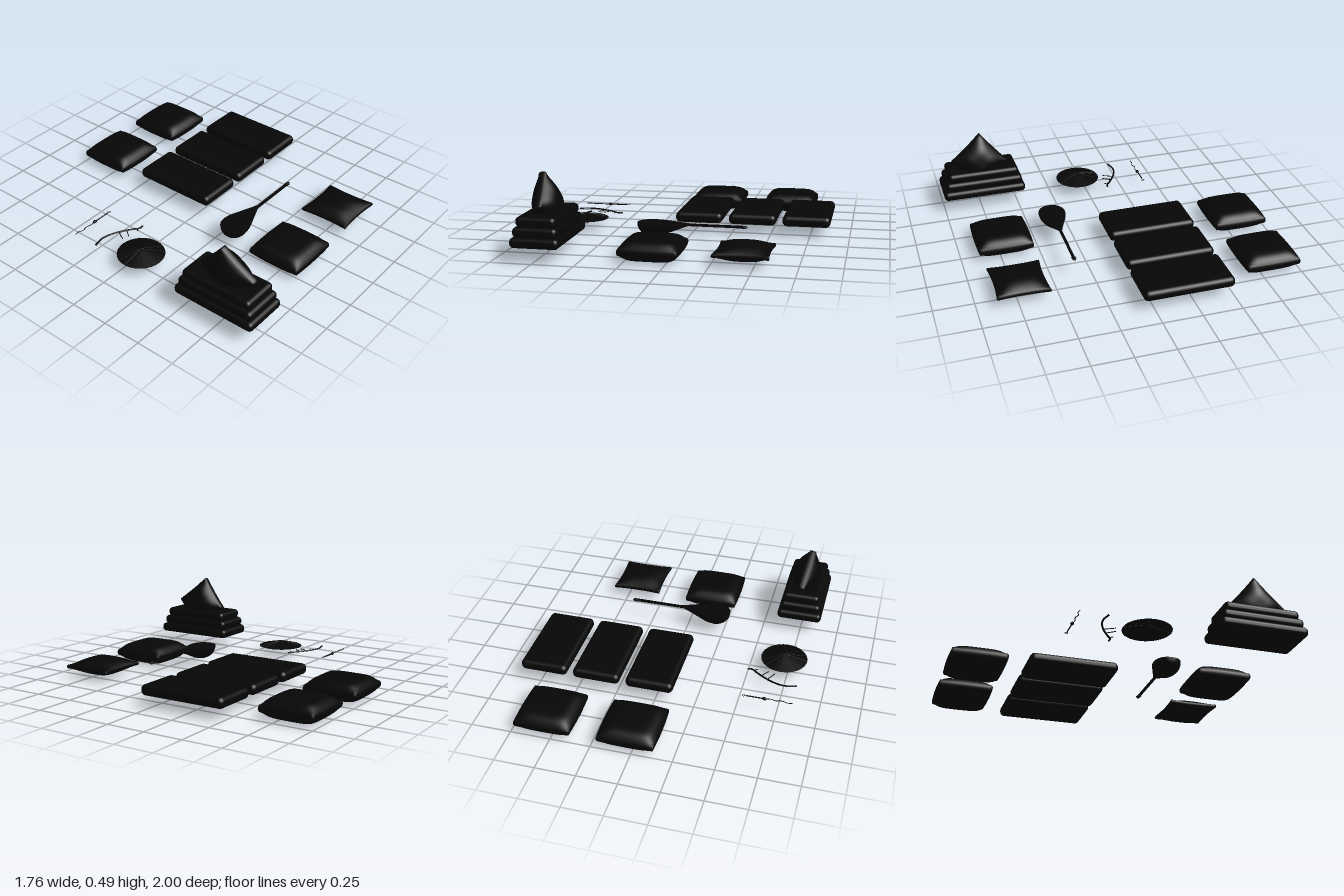
import * as THREE from 'three';
import { mergeVertices } from 'three/addons/utils/BufferGeometryUtils.js';
import { RoundedBoxGeometry } from 'three/addons/geometries/RoundedBoxGeometry.js';

const dark = new THREE.MeshStandardMaterial({ color: 0x060606 });
const darkThin = new THREE.MeshStandardMaterial({ color: 0x060606, side: THREE.DoubleSide });

function add(parent, name, geometry, x = 0, y = 0, z = 0, material = dark) {
  const mesh = new THREE.Mesh(geometry, material);
  mesh.name = name;
  mesh.position.set(x, y, z);
  parent.add(mesh);
  return mesh;
}

// Square cushion: puffed faces, thin rim; positive pinch draws the sides inward
function cushion(half, thick, edge, pinch, power) {
  let geo = new THREE.BoxGeometry(2, 2, 2, 24, 4, 24);
  geo.deleteAttribute('uv');
  geo.deleteAttribute('normal');
  geo = mergeVertices(geo);
  const p = geo.attributes.position;
  for (let i = 0; i < p.count; i++) {
    const u = p.getX(i), w = p.getY(i), v = p.getZ(i);
    const puff = (1 - Math.abs(u) ** power) * (1 - Math.abs(v) ** power);
    const rim = 1 - 0.03 * w * w;
    p.setXYZ(i,
      half * u * rim * (1 - pinch * (1 - v * v)),
      w * (edge + (thick - edge) * puff),
      half * v * rim * (1 - pinch * (1 - u * u)));
  }
  geo.computeVertexNormals();
  return geo;
}

function tube(points, radius, segments = 24) {
  const curve = new THREE.CatmullRomCurve3(points.map(([x, y, z]) => new THREE.Vector3(x, y, z)));
  return new THREE.TubeGeometry(curve, segments, radius, 6);
}

function makeLute() {
  const lute = new THREE.Group();
  lute.name = 'lute';
  // Pear-shaped body: half a lathe below a flat soundboard
  const outline = [[0, -0.285], [0.035, -0.279], [0.064, -0.256], [0.082, -0.222], [0.087, -0.185],
    [0.078, -0.13], [0.055, -0.07], [0.027, 0], [0.007, 0.055]].map(([r, x]) => new THREE.Vector2(r, x));
  const profile = new THREE.SplineCurve(outline).getPoints(32);
  add(lute, 'luteBack', new THREE.LatheGeometry(profile, 20, 0, Math.PI).rotateZ(-Math.PI / 2), 0, 0, 0, darkThin);
  const board = new THREE.Shape([
    ...profile.map((q) => new THREE.Vector2(q.y, -q.x)),
    ...profile.slice(1).reverse().map((q) => new THREE.Vector2(q.y, q.x)),
  ]);
  add(lute, 'soundboard', new THREE.ShapeGeometry(board).rotateX(-Math.PI / 2), 0, 0, 0, darkThin);
  add(lute, 'neck', new THREE.BoxGeometry(0.36, 0.014, 0.014), 0.21, -0.007, 0);
  add(lute, 'pegHead', new THREE.SphereGeometry(0.012, 12, 8).scale(1.9, 0.8, 1), 0.375, -0.008, 0);
  for (const x of [0.36, 0.375]) {
    add(lute, 'tuningPeg', new THREE.CylinderGeometry(0.003, 0.003, 0.03, 6).rotateX(Math.PI / 2), x, -0.008, 0);
  }
  lute.position.set(0, 0.131, 0.358);
  return lute;
}

export function createModel() {
  const model = new THREE.Group();
  model.name = 'cushionSet';

  // Square floor cushions
  for (const [x, z] of [[0.04, -0.82], [0.555, -0.82], [-0.105, 0.715]]) {
    add(model, 'floorCushion', cushion(0.175, 0.064, 0.02, -0.035, 6), x, 0.067, z);
  }

  // Pinched throw pillow
  add(model, 'throwPillow', cushion(0.165, 0.053, 0.012, 0.06, 3), 0.43, 0.073, 0.717);

  // Row of three long mats
  for (const x of [0.04, 0.385, 0.728]) {
    add(model, 'longMat', new RoundedBoxGeometry(0.302, 0.068, 0.57, 5, 0.03), x, 0.102, -0.218);
  }

  // Stack of mats, shrinking upward
  [[0.293, 0.555], [0.266, 0.52], [0.238, 0.478]].forEach(([w, d], i) => {
    add(model, 'stackedMat', new RoundedBoxGeometry(w, 0.061, d, 5, 0.026), -0.737, 0.119 + i * 0.058, 0.722);
  });

  // Pillow propped on one corner in the stack, leaning sideways
  const leaning = cushion(0.135, 0.08, 0.022, 0.03, 3)
    .rotateZ(Math.PI / 2)
    .rotateX(THREE.MathUtils.degToRad(40))
    .rotateZ(THREE.MathUtils.degToRad(11));
  add(model, 'leaningPillow', leaning, -0.732, 0.303, 0.73);

  model.add(makeLute());

  // Shallow parasol with ribs and a short stick
  const parasol = new THREE.Group();
  parasol.name = 'parasol';
  add(parasol, 'canopy', new THREE.ConeGeometry(0.148, 0.035, 32, 1, true), 0, 0.0175, 0, darkThin);
  for (let i = 0; i < 16; i++) {
    const a = (i / 16) * Math.PI * 2, c = Math.cos(a), s = Math.sin(a);
    add(parasol, 'rib', tube([[0, 0.035, 0], [0.149 * c, 0, 0.149 * s]], 0.002, 1));
  }
  add(parasol, 'stick', tube([[0, 0.036, -0.02], [0.002, 0.016, -0.12]], 0.004, 2));
  parasol.position.set(-0.715, 0.07, 0.045);
  model.add(parasol);

  // Curved branch with three twigs
  const branch = new THREE.Group();
  branch.name = 'branch';
  add(branch, 'stem', tube([[-0.84, 0, -0.22], [-0.76, 0, -0.235], [-0.67, 0, -0.21],
    [-0.58, 0, -0.155], [-0.54, 0, -0.125], [-0.51, 0, -0.125]], 0.006, 32).scale(1, 0.8, 1));
  for (const [x0, z0, x1, z1] of [[-0.65, -0.2, -0.685, -0.135], [-0.605, -0.175, -0.645, -0.12], [-0.55, -0.135, -0.572, -0.115]]) {
    add(branch, 'twig', tube([[x0, 0, z0], [x1, 0, z1]], 0.003, 1));
  }
  branch.position.y = 0.072;
  model.add(branch);

  // Thin wand with a wavy tassel and an end ring
  const wand = new THREE.Group();
  wand.name = 'wand';
  add(wand, 'tassel', tube([[-0.84, 0, 0], [-0.81, 0, -0.005], [-0.78, 0, 0.006], [-0.74, 0, -0.003],
    [-0.71, 0, 0.005], [-0.67, 0, 0]], 0.0025));
  add(wand, 'knot', new THREE.SphereGeometry(0.011, 10, 8).scale(1.5, 0.8, 1), -0.668, 0, 0);
  add(wand, 'shaft', tube([[-0.67, 0, 0], [-0.55, 0, 0]], 0.004, 1));
  add(wand, 'endRing', new THREE.TorusGeometry(0.009, 0.0015, 6, 16).rotateX(Math.PI / 2), -0.538, 0, 0);
  wand.position.set(0, 0.073, -0.39);
  model.add(wand);

  return model;
}
